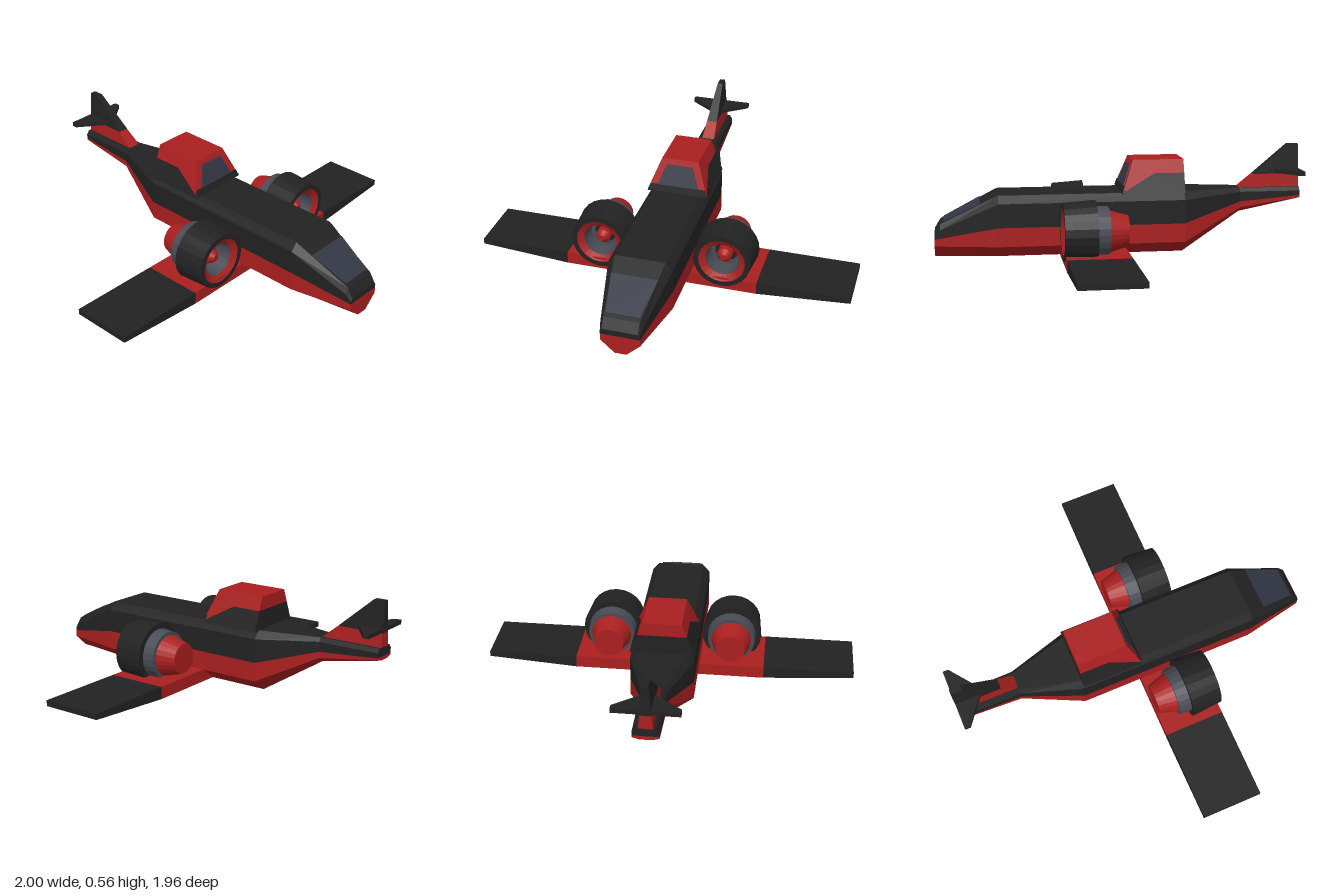
import * as THREE from 'three';

const mat = (color) => new THREE.MeshStandardMaterial({ color, flatShading: true });

export function createModel() {
  const model = new THREE.Group();
  const red = mat(0xaa1f1f), black = mat(0x222222), glass = mat(0x333745), grey = mat(0x484b55);

  const add = (name, geometry, material, parent = model) => {
    const g = geometry.index ? geometry.toNonIndexed() : geometry;
    g.computeVertexNormals();
    const mesh = new THREE.Mesh(g, material);
    mesh.name = name;
    parent.add(mesh);
    return mesh;
  };

  // Skin over mirrored cross-sections: each station is [z, [x, y] pairs from the bottom up the +x side]
  const loft = (stations) => {
    const rings = stations.map(([z, half]) => [
      ...half.map(([x, y]) => [x, y, z]),
      ...half.slice().reverse().map(([x, y]) => [-x, y, z]),
    ]);
    const v = [], n = rings[0].length, last = rings[rings.length - 1];
    const tri = (...p) => p.forEach((q) => v.push(...q));
    for (let i = 0; i + 1 < rings.length; i++) {
      for (let j = 0; j < n; j++) {
        const k = (j + 1) % n, a = rings[i], b = rings[i + 1];
        tri(a[j], b[j], b[k]);
        tri(a[j], b[k], a[k]);
      }
    }
    for (let j = 1; j + 1 < n; j++) {
      tri(rings[0][0], rings[0][j], rings[0][j + 1]);
      tri(last[0], last[j + 1], last[j]);
    }
    const g = new THREE.BufferGeometry();
    g.setAttribute('position', new THREE.Float32BufferAttribute(v, 3));
    return g;
  };

  const extrude = (points, depth) => new THREE.ExtrudeGeometry(
    new THREE.Shape(points.map(([x, y]) => new THREE.Vector2(x, y))), { depth, bevelEnabled: false });

  // Side profile of [z, y] points, given a half width that runs from w0 at y0 to w1 at y1
  const slab = (profile, y0, w0, y1, w1) => {
    const g = extrude(profile.map(([z, y]) => [-z, y]), 2).translate(0, 0, -1).rotateY(Math.PI / 2);
    const p = g.attributes.position;
    for (let i = 0; i < p.count; i++) {
      p.setX(i, p.getX(i) * (w0 + (w1 - w0) * (p.getY(i) - y0) / (y1 - y0)));
    }
    return g;
  };

  // Fuselage stations: z, keel half width and y, side half width, chine y, colour line y, shoulder y, roof half width and y
  const stations = [
    [0.98, 0.03, 0, 0.1, 0.065, 0.1, 0.115, 0.09, 0.13],
    [0.95, 0.035, 0, 0.106, 0.065, 0.106, 0.15, 0.09, 0.18],
    [0.65, 0.08, 0, 0.165, 0.065, 0.165, 0.29, 0.13, 0.33],
    [-0.33, 0.08, 0, 0.165, 0.065, 0.165, 0.29, 0.13, 0.33],
    [-0.65, 0.03, 0.2, 0.065, 0.225, 0.258, 0.31, 0.05, 0.33],
    [-0.98, 0.03, 0.265, 0.065, 0.275, 0.285, 0.31, 0.05, 0.33],
  ];
  add('lowerHull', loft(stations.map(([z, kw, ky, w, chine, line]) =>
    [z, [[kw, ky], [w, chine], [w, line]]])), red);
  add('upperHull', loft(stations.map(([z, , , w, , line, shoulder, rw, ry]) =>
    [z, [[w, line], [w, shoulder], [rw, ry]]])), black);
  add('noseWindow', slab([[0.93, 0.187], [0.932, 0.194], [0.742, 0.289], [0.74, 0.282]],
    0.19, 0.083, 0.285, 0.118), glass);

  // Raised cabin
  add('cabinBase', slab([[0, 0.325], [0, 0.335], [-0.17, 0.43], [-0.33, 0.43], [-0.33, 0.325]],
    0.33, 0.165, 0.5, 0.1), black);
  add('cabinRoof', slab([[0, 0.335], [-0.06, 0.5], [-0.33, 0.5], [-0.33, 0.43], [-0.17, 0.43]],
    0.33, 0.165, 0.5, 0.1), red);
  add('cabinSill', slab([[0.003, 0.33], [-0.007, 0.365], [-0.02, 0.365], [-0.01, 0.33]],
    0.33, 0.165, 0.5, 0.1), black);
  add('cabinWindow', slab([[-0.007, 0.365], [-0.046, 0.47], [-0.055, 0.47], [-0.016, 0.365]],
    0.365, 0.112, 0.47, 0.07), glass);

  // Tail fin and stabiliser
  add('finBase', slab([[-0.65, 0.325], [-0.65, 0.33], [-0.735, 0.4], [-0.98, 0.4], [-0.98, 0.325]],
    0.33, 0.035, 0.56, 0.015), red);
  add('fin', slab([[-0.735, 0.4], [-0.92, 0.56], [-0.98, 0.56], [-0.98, 0.4]],
    0.33, 0.035, 0.56, 0.015), black);
  add('stabiliser', extrude([[0.165, -0.98], [0.165, -0.95], [0.02, -0.84],
    [-0.02, -0.84], [-0.165, -0.95], [-0.165, -0.98]], 0.022)
    .rotateX(Math.PI / 2).translate(0, 0.427, 0), black);

  // Wings
  add('innerWing', new THREE.BoxGeometry(1.03, 0.065, 0.327).translate(0, 0.0325, 0.1635), red);
  for (const [side, s] of [['left', 1], ['right', -1]]) {
    add(side + 'OuterWing', extrude([[0.515 * s, 0], [s, 0.035], [s, 0.065], [0.515 * s, 0.065]], 0.327), black);
  }

  // Engines: profiles of [radius, z] turned about the z axis
  const turned = (profile) => new THREE.LatheGeometry(
    profile.map(([r, z]) => new THREE.Vector2(r, z)), 24).rotateX(Math.PI / 2);
  for (const [side, s] of [['left', 1], ['right', -1]]) {
    const engine = new THREE.Group();
    engine.name = side + 'Engine';
    engine.position.set(0.33 * s, 0.168, 0);
    add('cowl', turned([[0.12, 0.165], [0.162, 0.165], [0.15, 0.332], [0.123, 0.332]]), black, engine);
    add('intakeLip', turned([[0.123, 0.332], [0.09, 0.312]]), red, engine);
    add('intakeDuct', turned([[0.09, 0.312], [0.082, 0.22], [0.06, 0.22]]), grey, engine);
    add('fanDisc', turned([[0.06, 0.22], [0, 0.22]]), black, engine);
    add('hub', turned([[0.04, 0.22], [0.038, 0.27], [0.018, 0.295], [0, 0.295]]), red, engine);
    add('rearCasing', turned([[0.1, 0.1], [0.127, 0.1], [0.132, 0.166]]), grey, engine);
    add('exhaustCone', turned([[0, 0], [0.08, 0], [0.109, 0.101]]), red, engine);
    model.add(engine);
  }
  return model;
}
